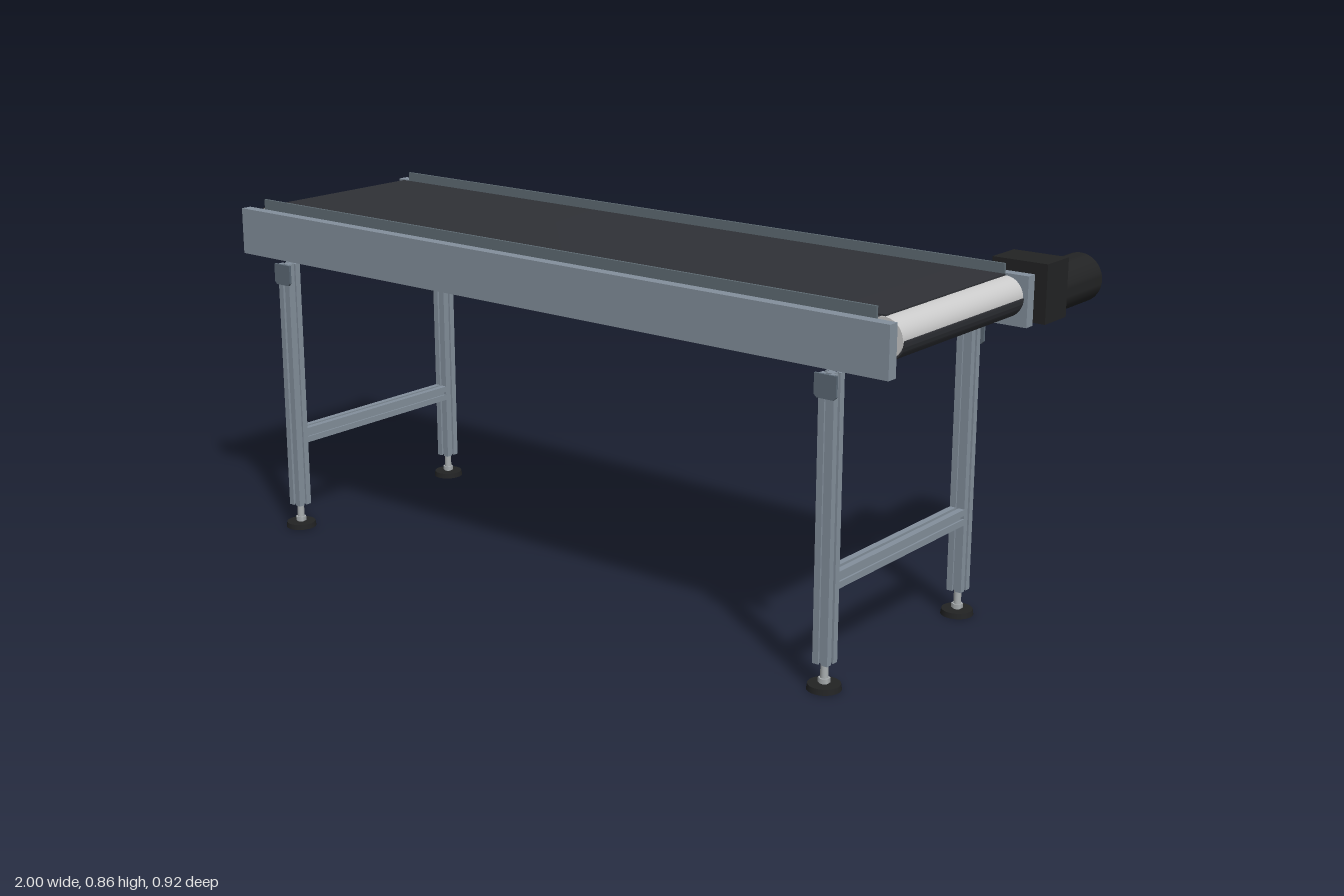
import * as THREE from 'three';
import { toCreasedNormals } from 'three/addons/utils/BufferGeometryUtils.js';

const mat = (color) => new THREE.MeshStandardMaterial({ color });
const STEEL = mat(0x84909c), GUIDE = mat(0x5f6c74), BELT = mat(0x303237), ROLLER = mat(0xcccccc);
const BLACK = mat(0x222324), FLANGE = mat(0x4b5661), BRASS = mat(0x8a7a2c);
const BRACKET = mat(0x5c6975), STEM = mat(0xa9aeb0);

const MID_Z = 0.144;   // centre line of the conveyor
const DRIVE_X = 0.93, TAIL_X = -0.951, AXIS_Y = 0.794;

function add(parent, name, geometry, material, x = 0, y = 0, z = 0) {
  const mesh = new THREE.Mesh(geometry, material);
  mesh.name = name;
  mesh.position.set(x, y, z);
  parent.add(mesh);
  return mesh;
}
const box = (w, h, d) => new THREE.BoxGeometry(w, h, d);
const cyl = (r, h, n = 32, top = r) => new THREE.CylinderGeometry(top, r, h, n);
const cylZ = (r, h, n = 40) => cyl(r, h, n).rotateX(Math.PI / 2);

// Square aluminium profile with an undercut slot in every side, running along z
function slottedProfile(length) {
  const h = 0.0195, slot = 0.004, wide = 0.008, lip = 0.015, deep = 0.01;
  const side = [[-h, -h], [-slot, -h], [-slot, -lip], [-wide, -lip], [-wide, -deep],
    [wide, -deep], [wide, -lip], [slot, -lip], [slot, -h]];
  const points = [];
  for (let i = 0; i < 4; i++) {
    for (const [x, y] of side) {
      points.push(new THREE.Vector2(x, y).rotateAround(new THREE.Vector2(), i * Math.PI / 2));
    }
  }
  return new THREE.ExtrudeGeometry(new THREE.Shape(points), { depth: length, bevelEnabled: false })
    .translate(0, 0, -length / 2);
}

// Thin belt: full wrap at the tail, lower quarter wrap at the drive roller
function beltGeometry(width) {
  const R = 0.049, r = 0.0455, q = Math.PI / 2;
  const s = new THREE.Shape();
  s.moveTo(DRIVE_X, AXIS_Y + R);
  s.lineTo(TAIL_X, AXIS_Y + R);
  s.absarc(TAIL_X, AXIS_Y, R, q, 3 * q, false);
  s.lineTo(DRIVE_X, AXIS_Y - R);
  s.absarc(DRIVE_X, AXIS_Y, R, -q, 0, false);
  s.lineTo(DRIVE_X + r, AXIS_Y);
  s.absarc(DRIVE_X, AXIS_Y, r, 0, -q, true);
  s.lineTo(TAIL_X, AXIS_Y - r);
  s.absarc(TAIL_X, AXIS_Y, r, 3 * q, q, true);
  s.lineTo(DRIVE_X, AXIS_Y + r);
  s.closePath();
  const g = new THREE.ExtrudeGeometry(s, { depth: width, bevelEnabled: false, curveSegments: 24 });
  return toCreasedNormals(g.translate(0, 0, -width / 2), 0.6);
}

// Bracket plate with chamfered lower corners
function bracketGeometry() {
  const s = new THREE.Shape();
  s.moveTo(-0.028, 0.027);
  s.lineTo(-0.028, -0.019);
  s.lineTo(-0.021, -0.026);
  s.lineTo(0.021, -0.026);
  s.lineTo(0.028, -0.019);
  s.lineTo(0.028, 0.027);
  s.closePath();
  return new THREE.ExtrudeGeometry(s, { depth: 0.006, bevelEnabled: false });
}

function createLegFrame(x) {
  const frame = new THREE.Group();
  frame.name = 'legFrame';
  frame.position.set(x, 0, MID_Z);
  for (const side of [1, -1]) {
    const leg = new THREE.Group();
    leg.name = 'leg';
    leg.position.z = side * 0.278;
    if (side < 0) leg.rotation.y = Math.PI;
    add(leg, 'post', slottedProfile(0.65).rotateX(Math.PI / 2), STEEL, 0, 0.386, 0);
    add(leg, 'legBracket', bracketGeometry(), BRACKET, 0, 0.684, 0.0185);
    add(leg, 'footDisc', cyl(0.039, 0.013, 32, 0.037), BLACK, 0, 0.0065, 0);
    add(leg, 'footStem', cyl(0.009, 0.05, 20), STEM, 0, 0.037, 0);
    add(leg, 'footNut', cyl(0.014, 0.011, 6), STEM, 0, 0.021, 0);
    frame.add(leg);
  }
  add(frame, 'crossbar', slottedProfile(0.517), STEEL, 0, 0.249, 0);
  return frame;
}

// Gearbox and cylindrical motor behind the drive end
function createDrive() {
  const drive = new THREE.Group();
  drive.name = 'driveUnit';
  drive.position.set(DRIVE_X, 0, 0);
  add(drive, 'gearbox', box(0.14, 0.138, 0.097), BLACK, 0, 0.794, -0.2125);
  add(drive, 'gearboxTrim', box(0.06, 0.005, 0.004), BRASS, 0, 0.838, -0.262);
  add(drive, 'motorFlange', cylZ(0.064, 0.016), FLANGE, 0, 0.774, -0.261);
  const profile = [[0, 0], [0.059, 0], [0.059, 0.186], [0.054, 0.191], [0, 0.191]]
    .map(([r, y]) => new THREE.Vector2(r, y));
  const body = toCreasedNormals(new THREE.LatheGeometry(profile, 40).rotateX(-Math.PI / 2), 0.5);
  add(drive, 'motor', body, BLACK, 0, 0.774, -0.268);
  return drive;
}

export function createModel() {
  const model = new THREE.Group();
  model.name = 'beltConveyor';

  // Belt and rollers
  add(model, 'belt', beltGeometry(0.488), BELT, 0, 0, MID_Z);
  add(model, 'driveRoller', cylZ(0.0452, 0.494, 48), ROLLER, DRIVE_X, AXIS_Y, MID_Z);
  add(model, 'tailRoller', cylZ(0.0452, 0.494, 48), ROLLER, TAIL_X, AXIS_Y, MID_Z);

  // Side rails and belt guides
  for (const side of [1, -1]) {
    add(model, 'sideRail', box(1.975, 0.118, 0.028), STEEL, -0.0125, 0.78, MID_Z + side * 0.283);
    add(model, 'beltGuide', box(1.87, 0.028, 0.006), GUIDE, -0.015, 0.849, MID_Z + side * 0.26);
  }

  for (const x of [-0.85, 0.825]) model.add(createLegFrame(x));
  model.add(createDrive());
  return model;
}
